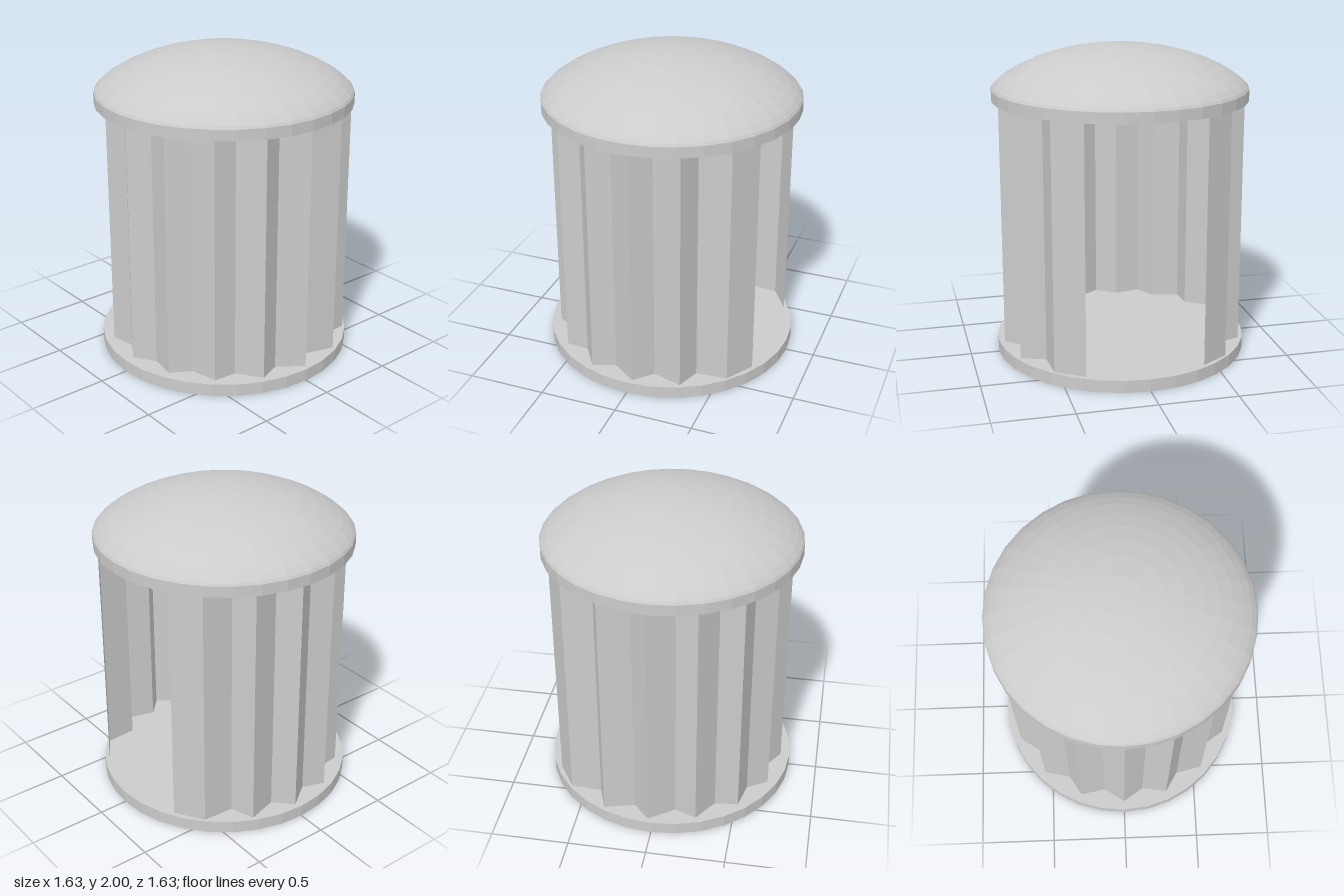
import * as THREE from 'three';

const SIDES = 32;

export function createModel() {
  const group = new THREE.Group();
  const material = new THREE.MeshStandardMaterial({ color: 0xcccccc, flatShading: true });
  const sheet = material.clone();
  sheet.side = THREE.DoubleSide;

  const add = (name, geometry, mat = material) => {
    const mesh = new THREE.Mesh(geometry, mat);
    mesh.name = name;
    group.add(mesh);
    return mesh;
  };

  // Round floor slab
  add('base', new THREE.CylinderGeometry(0.815, 0.815, 0.08, SIDES)).position.y = 0.04;

  // Roof: flat underside, upright rim, then a shallow dome
  const profile = [new THREE.Vector2(0, 1.66), new THREE.Vector2(0.815, 1.66)];
  const rings = 10;
  for (let i = rings; i >= 0; i--) {
    const t = (i / rings) * Math.PI / 2;
    const rise = Math.pow(Math.max(0, Math.cos(t)), 1.5);
    profile.push(new THREE.Vector2(0.815 * Math.sin(t), 1.73 + 0.27 * rise));
  }
  add('roof', new THREE.LatheGeometry(profile, SIDES));

  // Pleated wall: outer and inner folds alternate, with a doorway on the +x side
  const folds = [[0.69, 0.375]];
  for (let i = 4; i <= 28; i++) {
    const a = (i * Math.PI) / 16;
    const outer = i % 2 === 0;
    const r = outer ? 0.78 : 0.68;
    folds.push([r * Math.cos(a) + (outer ? 0.025 : 0), r * Math.sin(a)]);
  }
  folds.push([0.69, -0.375]);

  const positions = [];
  const indices = [];
  folds.forEach(([x, z], i) => {
    positions.push(x, 0.08, z, x, 1.66, z);
    if (i > 0) {
      const b = 2 * i;
      indices.push(b - 2, b - 1, b, b, b - 1, b + 1);
    }
  });
  const wall = new THREE.BufferGeometry();
  wall.setAttribute('position', new THREE.Float32BufferAttribute(positions, 3));
  wall.setIndex(indices);
  const flatWall = wall.toNonIndexed();
  flatWall.computeVertexNormals();
  // Corners are ordered so the fronts face outward
  const n = flatWall.attributes.normal;
  const p = flatWall.attributes.position;
  let facing = 0;
  for (let i = 0; i < n.count; i++) facing += n.getX(i) * p.getX(i) + n.getZ(i) * p.getZ(i);
  if (facing < 0) {
    wall.setIndex(indices.slice().reverse());
  }
  const finalWall = wall.toNonIndexed();
  finalWall.computeVertexNormals();
  add('pleatedWall', finalWall, sheet);

  return group;
}
